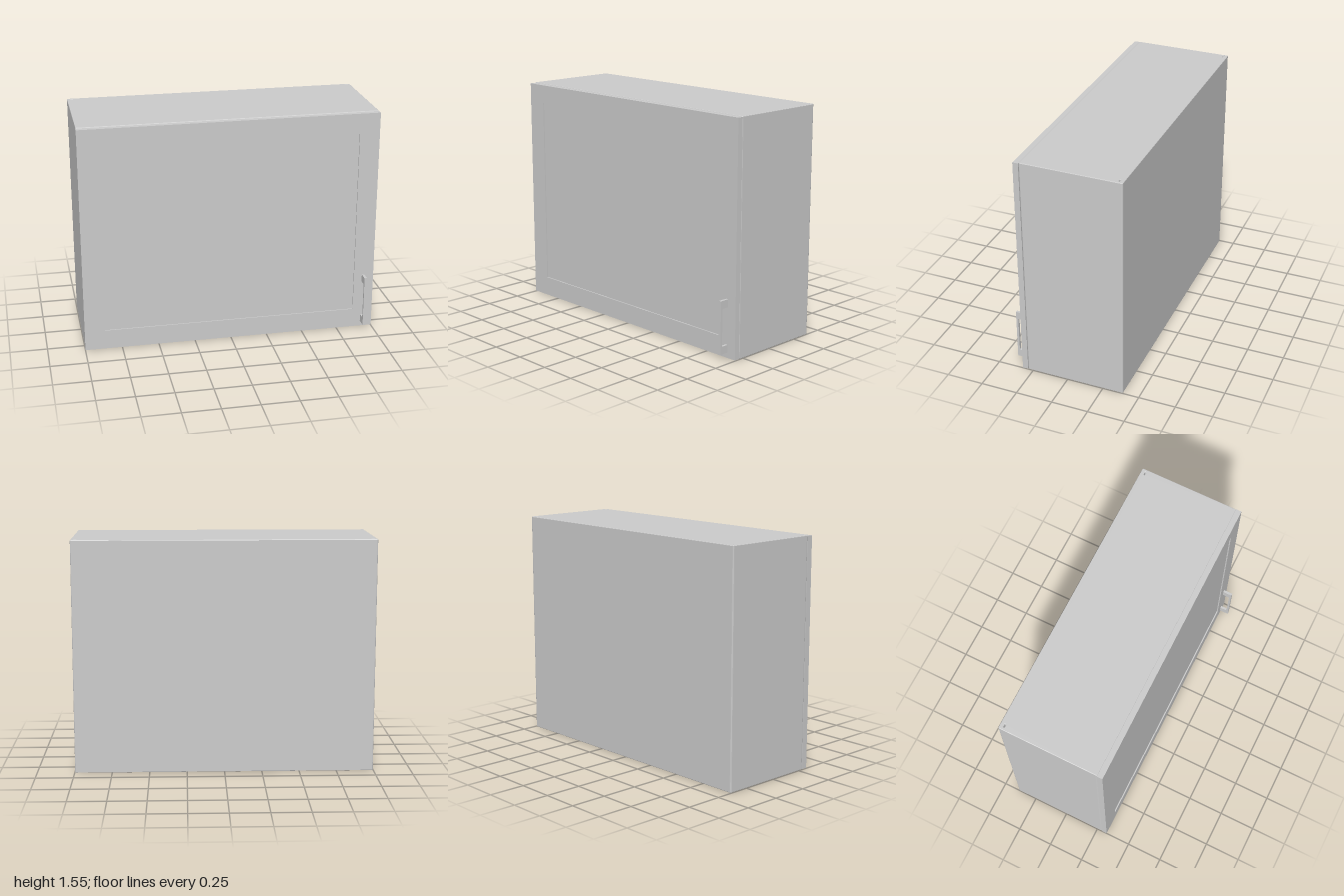
import * as THREE from 'three';

const mat = new THREE.MeshStandardMaterial({ color: 0xcccccc, flatShading: true });

// Rounded rectangle outline between two corners
function roundRect(target, x0, y0, x1, y1, r) {
  target.moveTo(x0 + r, y0);
  target.lineTo(x1 - r, y0);
  target.quadraticCurveTo(x1, y0, x1, y0 + r);
  target.lineTo(x1, y1 - r);
  target.quadraticCurveTo(x1, y1, x1 - r, y1);
  target.lineTo(x0 + r, y1);
  target.quadraticCurveTo(x0, y1, x0, y1 - r);
  target.lineTo(x0, y0 + r);
  target.quadraticCurveTo(x0, y0, x0 + r, y0);
  return target;
}

function rect(target, x0, y0, x1, y1) {
  target.moveTo(x0, y0);
  target.lineTo(x1, y0);
  target.lineTo(x1, y1);
  target.lineTo(x0, y1);
  target.closePath();
  return target;
}

function addMesh(group, name, geometry) {
  const mesh = new THREE.Mesh(geometry, mat);
  mesh.name = name;
  group.add(mesh);
  return mesh;
}

export function createModel() {
  const group = new THREE.Group();
  group.name = 'wallCabinet';
  const height = 1.555, bevel = 0.004;
  const doorBack = 0.287, doorFront = 0.325;

  // Cabinet body: footprint extruded upward, with mounting slots near the back corners
  const footprint = roundRect(new THREE.Shape(), -0.998, -doorBack, 0.998, 0.39, 0.01);
  for (const side of [-1, 1]) {
    const x = side * 0.968;
    footprint.holes.push(roundRect(new THREE.Path(), x - 0.01, 0.356, x + 0.01, 0.364, 0.003));
  }
  const body = new THREE.ExtrudeGeometry(footprint, {
    depth: height - 2 * bevel, bevelEnabled: true, bevelThickness: bevel,
    bevelSize: bevel, bevelOffset: -bevel, bevelSegments: 2, curveSegments: 4,
  });
  body.rotateX(-Math.PI / 2);
  addMesh(group, 'cabinetBody', body).position.y = bevel;

  // Door frame around the panel opening
  const door = new THREE.Group();
  door.name = 'door';
  group.add(door);
  const frame = rect(new THREE.Shape(), -1, 0.004, 1, 1.551);
  frame.holes.push(rect(new THREE.Path(), -0.863, 0.137, 0.863, 1.425));
  addMesh(door, 'doorFrame', new THREE.ExtrudeGeometry(frame, {
    depth: doorFront - doorBack, bevelEnabled: false,
  })).position.z = doorBack;

  // Slightly recessed door panel
  addMesh(door, 'doorPanel', new THREE.BoxGeometry(1.726, 1.288, 0.03))
    .position.set(0, 0.781, doorBack + 0.015);

  // Bow handle: side profile with a rounded finger opening at the door face
  const profile = new THREE.Shape();
  profile.moveTo(doorFront, 0.04);
  profile.lineTo(0.39, 0.04);
  profile.lineTo(0.39, 0.394);
  profile.lineTo(doorFront, 0.394);
  profile.lineTo(doorFront, 0.342);
  profile.lineTo(0.367, 0.342);
  profile.quadraticCurveTo(0.375, 0.342, 0.375, 0.334);
  profile.lineTo(0.375, 0.1);
  profile.quadraticCurveTo(0.375, 0.092, 0.367, 0.092);
  profile.lineTo(doorFront, 0.092);
  profile.closePath();
  const handle = new THREE.ExtrudeGeometry(profile, {
    depth: 0.017, bevelEnabled: false, curveSegments: 5,
  });
  handle.rotateY(-Math.PI / 2);
  addMesh(door, 'doorHandle', handle).position.x = 0.936;

  return group;
}
